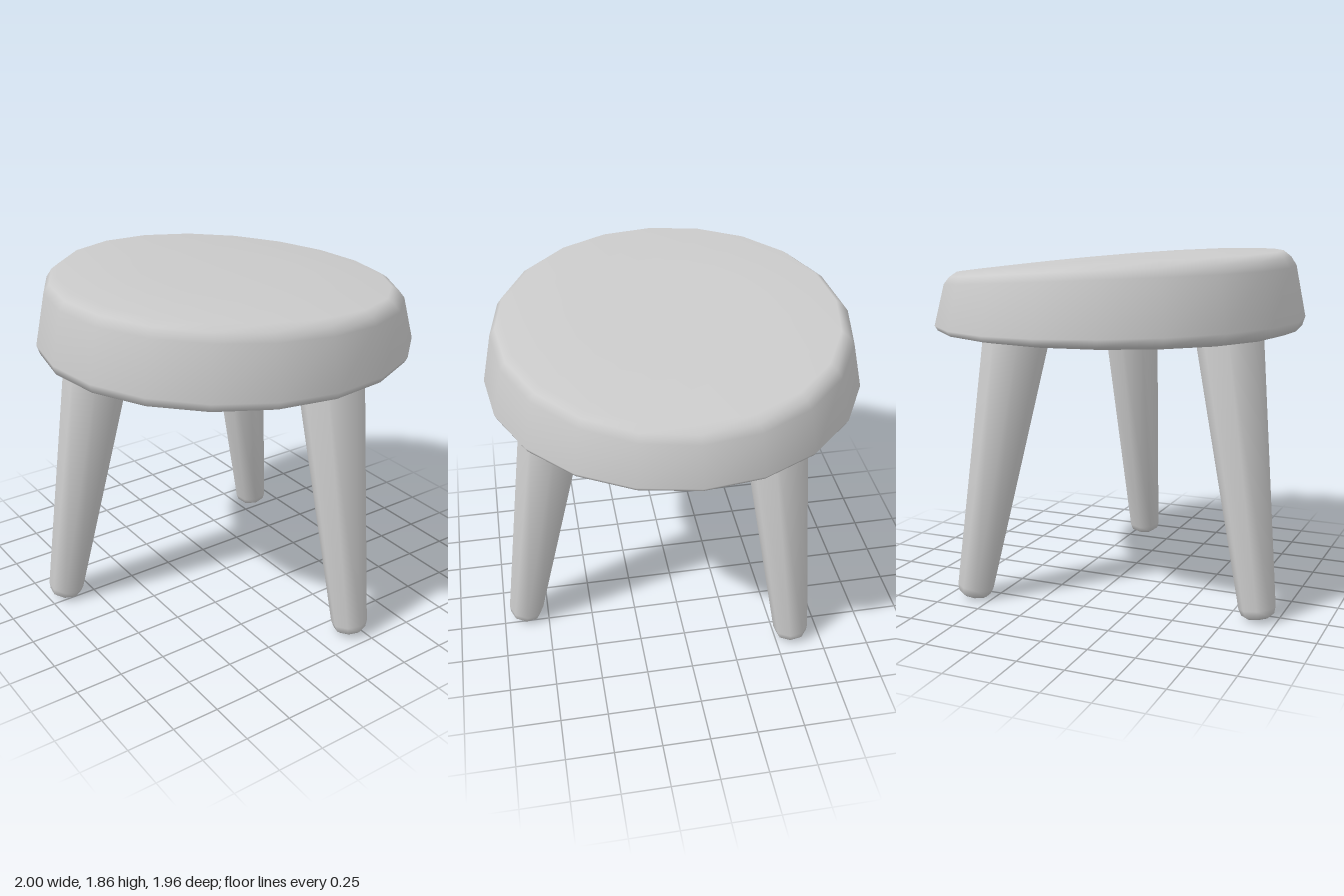
import * as THREE from 'three';

const material = new THREE.MeshStandardMaterial({ color: 0xcccccc });

// Seat: stacked 20-sided rings; the upper rings lean and sag towards +x.
function makeSeat() {
  const sides = 20, phase = 0.03, depth = 0.975, centreZ = -0.015;
  // [radius, height, slope along x, sag]
  const rings = [
    [0.92, 1.435, -0.003, 0],
    [0.985, 1.45, -0.012, 0],
    [1.0, 1.485, -0.025, 0],
    [0.945, 1.745, -0.06, 0.025],
    [0.915, 1.785, -0.067, 0.025],
    [0.875, 1.812, -0.073, 0.025],
    [0.45, 1.812, -0.075, 0.025],
  ];
  const positions = [], index = [];
  for (const [r, y, slope, sag] of rings) {
    for (let i = 0; i < sides; i++) {
      const a = phase + (i / sides) * Math.PI * 2;
      const x = r * Math.cos(a);
      positions.push(x, y + slope * x - sag * x * x, centreZ + depth * r * Math.sin(a));
    }
  }
  const bottom = rings.length * sides, top = bottom + 1;
  positions.push(0, 1.435, centreZ, 0, 1.812, centreZ);
  for (let i = 0; i < sides; i++) {
    const j = (i + 1) % sides;
    for (let k = 0; k < rings.length - 1; k++) {
      const a = k * sides + i, b = k * sides + j;
      index.push(a, a + sides, b, b, a + sides, b + sides);
    }
    const last = (rings.length - 1) * sides;
    index.push(bottom, i, j, top, last + j, last + i);
  }
  const geometry = new THREE.BufferGeometry();
  geometry.setAttribute('position', new THREE.Float32BufferAttribute(positions, 3));
  geometry.setIndex(index);
  geometry.computeVertexNormals();
  const seat = new THREE.Mesh(geometry, material);
  seat.name = 'seat';
  return seat;
}

// Leg: tapered, eight-sided, with a bevelled foot.
const legProfile = [[0, 0], [0.065, 0], [0.085, 0.014], [0.096, 0.05], [0.176, 1.49], [0, 1.49]]
  .map(([r, y]) => new THREE.Vector2(r, y));
const legGeometry = new THREE.LatheGeometry(legProfile, 8);

function makeLeg(name, x, z, azimuth) {
  const leg = new THREE.Mesh(legGeometry, material);
  leg.name = name;
  leg.position.set(x, 0.012, z);
  leg.rotation.set(-0.178, azimuth, 0, 'YXZ'); // splay outwards
  return leg;
}

export function createModel() {
  const stool = new THREE.Group();
  stool.name = 'stool';
  stool.add(
    makeSeat(),
    makeLeg('frontLeg', 0.197, 0.88, 0),
    makeLeg('backLeftLeg', 0.61, -0.595, (Math.PI * 2) / 3),
    makeLeg('backRightLeg', -0.9, -0.31, (-Math.PI * 2) / 3),
  );
  return stool;
}
